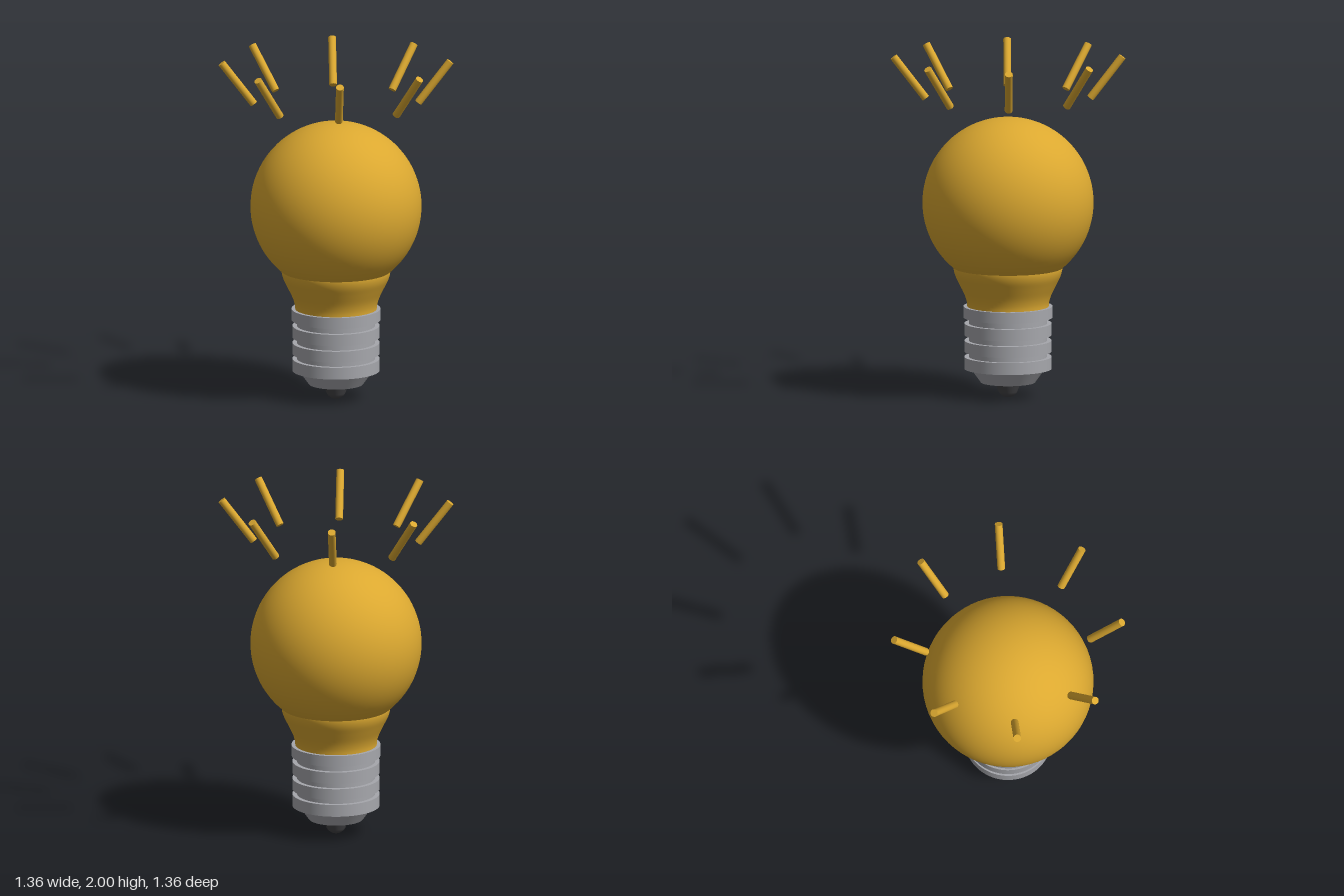
import * as THREE from 'three';

export function createModel() {
  const gold = new THREE.MeshStandardMaterial({ name: 'gold', color: 0xdba830 });
  const metal = new THREE.MeshStandardMaterial({ name: 'metal grey', color: 0xa6a7ac });
  const dark = new THREE.MeshStandardMaterial({ name: 'dark grey', color: 0x444447 });
  const model = new THREE.Group();
  model.name = 'lightBulb';

  const add = (name, geometry, material, y = 0) => {
    const mesh = new THREE.Mesh(geometry, material);
    mesh.name = name;
    mesh.position.y = y;
    model.add(mesh);
    return mesh;
  };
  // Profiles run from bottom to top as [radius, height]
  const lathe = (points) =>
    new THREE.LatheGeometry(points.map(([r, y]) => new THREE.Vector2(r, y)), 64);

  // Glass globe and flared neck
  add('globe', new THREE.SphereGeometry(0.494, 64, 48), gold, 1.136);
  const neckCurve = new THREE.SplineCurve([
    [0.235, 0.52], [0.238, 0.555], [0.252, 0.6], [0.281, 0.66],
    [0.305, 0.71], [0.314, 0.75], [0.308, 0.775], [0.28, 0.79],
  ].map(([r, y]) => new THREE.Vector2(r, y)));
  add('neck', new THREE.LatheGeometry(neckCurve.getPoints(28), 64), gold);

  // Screw base: a core with four raised threads
  add('screwCore', new THREE.CylinderGeometry(0.226, 0.226, 0.36, 64), metal, 0.345);
  [
    [0.165, 0.235, 0.252],
    [0.265, 0.33, 0.252],
    [0.362, 0.43, 0.252],
    [0.465, 0.53, 0.257],
  ].forEach(([bottom, top, radius], i) => {
    add(`thread${i + 1}`, new THREE.CylinderGeometry(radius, radius, top - bottom, 64),
      metal, (bottom + top) / 2);
  });

  // Tapered end and contact tip
  add('baseTaper', new THREE.CylinderGeometry(0.218, 0.157, 0.085, 64), metal, 0.1275);
  add('contactTip', lathe([
    [0, 0.005], [0.025, 0.007], [0.045, 0.016], [0.054, 0.03], [0.077, 0.09],
  ].map(([r, y]) => [r, y <= 0.007 ? y - 0.005 : y])), dark);

  // Eight rays leaning outward above the globe
  const inner = new THREE.Vector3(0.475, 1.745, 0);
  const outer = new THREE.Vector3(0.66, 1.986, 0);
  const direction = outer.clone().sub(inner);
  const rayGeometry = new THREE.CylinderGeometry(0.0225, 0.0225, direction.length(), 24);
  rayGeometry.applyQuaternion(new THREE.Quaternion().setFromUnitVectors(
    new THREE.Vector3(0, 1, 0), direction.clone().normalize()));
  const middle = inner.clone().add(outer).multiplyScalar(0.5);
  rayGeometry.translate(middle.x, middle.y, 0);
  for (let i = 0; i < 8; i++) {
    add(`ray${i + 1}`, rayGeometry, gold).rotation.y = (i * Math.PI) / 4;
  }
  return model;
}
